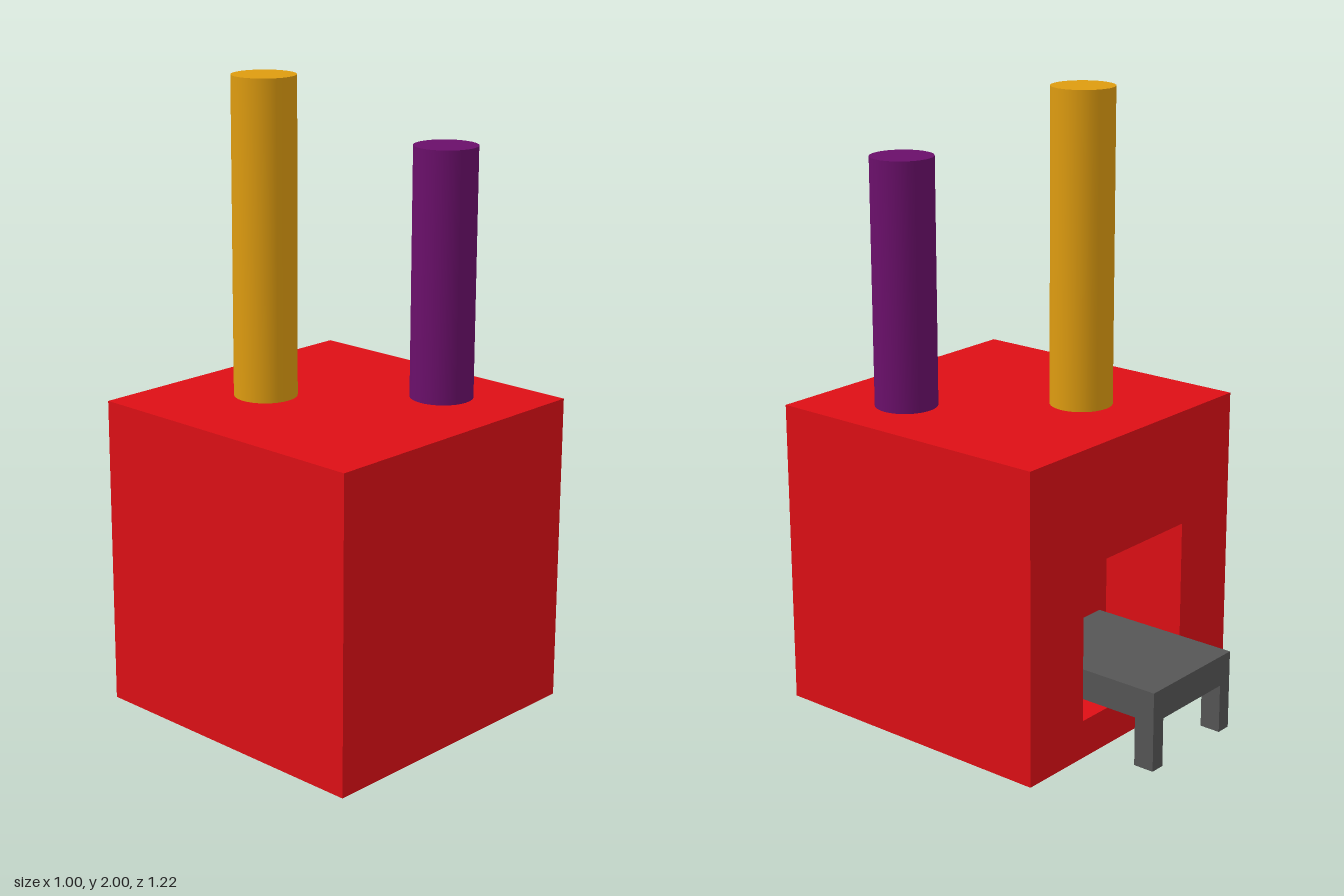
import * as THREE from 'three';
import { mergeGeometries } from 'three/addons/utils/BufferGeometryUtils.js';

const BACK = -0.39; // z of the body's back wall
const OPEN = { size: 0.5, y: 0.375, depth: 0.3 };

const paint = (color) => new THREE.MeshStandardMaterial({ color });

function add(parent, name, geometry, material, x = 0, y = 0, z = 0) {
  const mesh = new THREE.Mesh(geometry, material);
  mesh.name = name;
  mesh.position.set(x, y, z);
  parent.add(mesh);
  return mesh;
}

// Box without its back (-z) face; inward = true turns it inside out
function openBox(w, h, d, inward) {
  const g = new THREE.BoxGeometry(w, h, d);
  const index = Array.from(g.index.array).slice(0, 30);
  if (inward) {
    index.reverse();
    g.attributes.normal.array.forEach((n, i, a) => { a[i] = -n; });
  }
  g.setIndex(index);
  g.clearGroups();
  return g;
}

// Cube with a square recess in its back wall
function bodyGeometry() {
  const shell = openBox(1, 1, 1, false).translate(0, 0.5, BACK + 0.5);
  const recess = openBox(OPEN.size, OPEN.size, OPEN.depth, true)
    .translate(0, OPEN.y, BACK + OPEN.depth / 2);

  const h = OPEN.size / 2;
  const wall = new THREE.Shape([[-0.5, 0], [0.5, 0], [0.5, 1], [-0.5, 1]]
    .map(([x, y]) => new THREE.Vector2(x, y)));
  wall.holes.push(new THREE.Path([[-h, -h], [-h, h], [h, h], [h, -h]]
    .map(([x, y]) => new THREE.Vector2(x, y + OPEN.y))));
  const backWall = new THREE.ShapeGeometry(wall).rotateY(Math.PI).translate(0, 0, BACK);

  return mergeGeometries([shell, recess, backWall]);
}

export function createModel() {
  const model = new THREE.Group();
  model.name = 'chimneyBlock';

  add(model, 'body', bodyGeometry(), paint(0xdd0f15));

  // Two round chimneys standing on the roof
  const chimneys = [
    ['tallChimney', 0xdd9b10, -0.11, -0.09, 1],
    ['shortChimney', 0x6a0f6a, 0.255, 0.32, 0.79],
  ];
  for (const [name, color, x, z, height] of chimneys) {
    add(model, name, new THREE.CylinderGeometry(0.1, 0.1, height, 32), paint(color), x, 1 + height / 2, z);
  }

  // Bench sliding out of the recess, with legs at its outer corners
  const bench = new THREE.Group();
  bench.name = 'bench';
  bench.position.x = -0.015;
  model.add(bench);
  const grey = paint(0x555555);
  const outer = -0.61;
  const length = BACK + OPEN.depth - outer;
  add(bench, 'benchTop', new THREE.BoxGeometry(0.4, 0.1, length), grey, 0, 0.21, outer + length / 2);
  for (const side of [-1, 1]) {
    add(bench, side > 0 ? 'leftLeg' : 'rightLeg', new THREE.BoxGeometry(0.05, 0.16, 0.07), grey,
      side * 0.175, 0.08, outer + 0.035);
  }

  return model;
}
